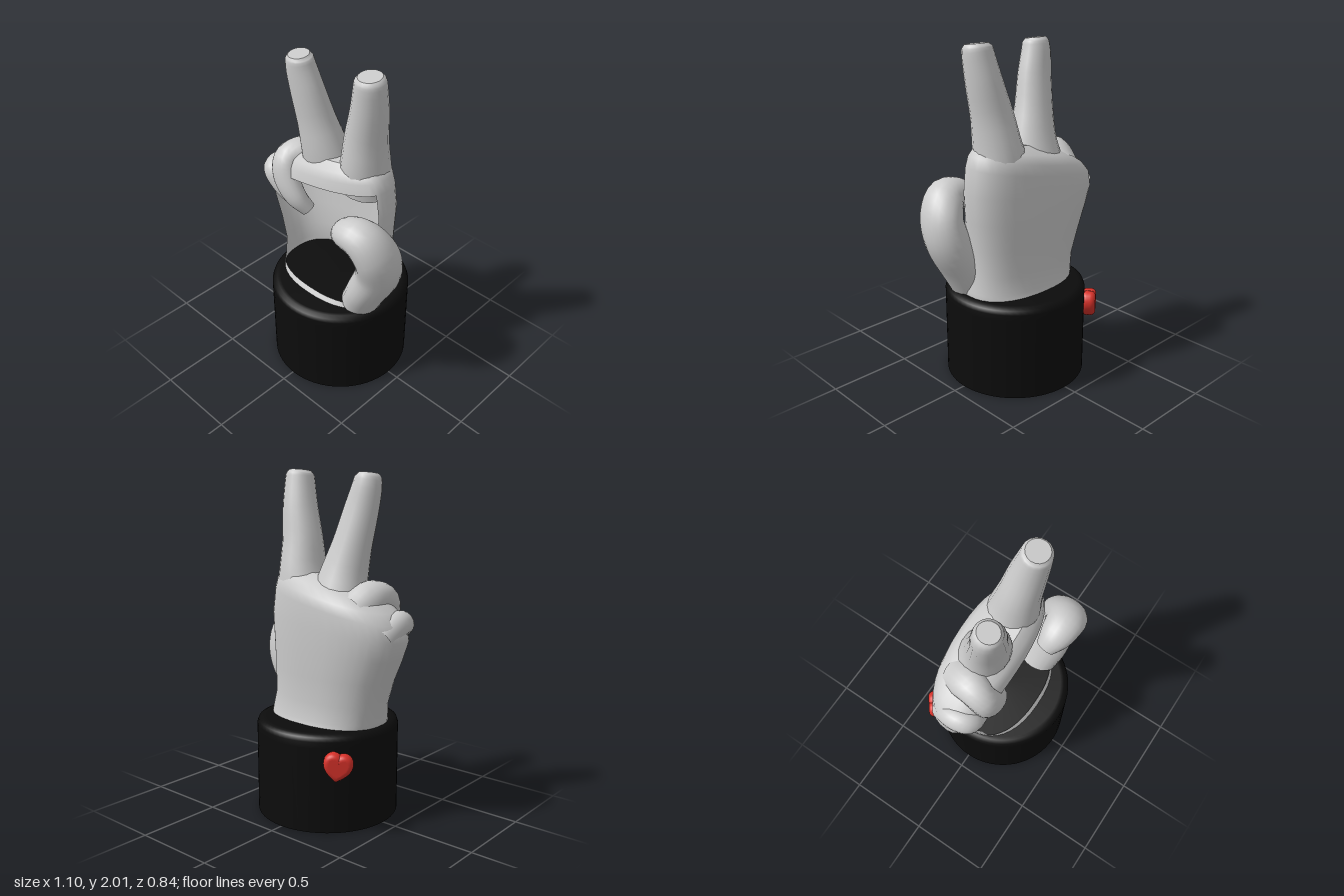
import * as THREE from 'three';
import { mergeVertices } from 'three/addons/utils/BufferGeometryUtils.js';

const V = (x, y, z) => new THREE.Vector3(x, y, z);
const skin = new THREE.MeshStandardMaterial({ color: 0xcccccc, side: THREE.DoubleSide });
const black = new THREE.MeshStandardMaterial({ color: 0x0c0c0c, side: THREE.DoubleSide });
const red = new THREE.MeshStandardMaterial({ color: 0xd8322a });

function part(name, geometry, material) {
  const mesh = new THREE.Mesh(geometry, material);
  mesh.name = name;
  return mesh;
}

// Skins a stack of closed rings; skip(i, j) leaves a face out, the last ring gets a flat cap.
function loft(rings, skip = () => false) {
  const n = rings[0].length, pos = [], index = [];
  rings.forEach(r => r.forEach(p => pos.push(p.x, p.y, p.z)));
  for (let i = 0; i < rings.length - 1; i++) {
    for (let j = 0; j < n; j++) {
      if (skip(i, j)) continue;
      const k = (j + 1) % n, a = i * n + j, b = i * n + k;
      index.push(a, b, a + n, b, b + n, a + n);
    }
  }
  const last = rings[rings.length - 1], start = pos.length / 3;
  const centre = last.reduce((s, p) => s.add(p), V(0, 0, 0)).divideScalar(n);
  [...last, centre].forEach(p => pos.push(p.x, p.y, p.z));
  for (let j = 0; j < n; j++) index.push(start + j, start + (j + 1) % n, start + n);
  const g = new THREE.BufferGeometry();
  g.setAttribute('position', new THREE.Float32BufferAttribute(pos, 3));
  g.setIndex(index);
  g.computeVertexNormals();
  return g;
}

// Finger: stations are [x, y, z, radius along the side axis, radius across it].
function finger(name, stations, side, steps = 18, n = 18) {
  const path = new THREE.CatmullRomCurve3(stations.map(s => V(s[0], s[1], s[2])));
  const size = new THREE.CatmullRomCurve3(stations.map(s => V(s[3], s[4], 0)));
  const rings = [];
  for (let i = 0; i <= steps; i++) {
    const t = i / steps, p = path.getPoint(t), r = size.getPoint(t), T = path.getTangent(t);
    const u = side.clone().addScaledVector(T, -side.dot(T)).normalize();
    const v = T.clone().cross(u);
    rings.push(Array.from({ length: n }, (_, j) => {
      const a = j / n * Math.PI * 2;
      return p.clone().addScaledVector(u, r.x * Math.cos(a)).addScaledVector(v, r.y * Math.sin(a));
    }));
  }
  return part(name, loft(rings), skin);
}

// Hollow palm: rows are [y, right x, left x, back z, front z, slope of the row]
function palm() {
  const rows = [
    [0.57, -0.37, 0.37, -0.25, 0.27, 0],
    [0.60, -0.38, 0.37, -0.24, 0.25, 0],
    [0.70, -0.40, 0.35, -0.225, 0.19, 0],
    [0.85, -0.45, 0.35, -0.235, 0.17, 0.02],
    [1.00, -0.51, 0.36, -0.24, 0.16, 0.05],
    [1.14, -0.55, 0.37, -0.245, 0.15, 0.11],
    [1.26, -0.53, 0.35, -0.24, 0.16, 0.18],
    [1.32, -0.47, 0.33, -0.23, 0.15, 0.2],
    [1.37, -0.37, 0.29, -0.19, 0.13, 0.2],
    [1.41, -0.24, 0.22, -0.1, 0.08, 0.18],
  ];
  const n = 40, bend = (c) => Math.sign(c) * Math.abs(c) ** 0.85;
  const rings = rows.map(([y, x0, x1, zb, zf, slope]) => Array.from({ length: n }, (_, j) => {
    const a = j / n * Math.PI * 2, s = bend(Math.sin(a));
    const x = (x0 + x1) / 2 + (x1 - x0) / 2 * bend(Math.cos(a));
    return V(x, y + slope * (x + 0.05), s > 0 ? s * zb : -s * zf);
  }));
  // the front stays open between the wrist rim and the finger roots
  return part('palm', loft(rings, (i, j) => i >= 1 && i <= 5 && j >= 23 && j <= 37), skin);
}

function heart() {
  const s = new THREE.Shape();
  s.moveTo(0, -0.055);
  s.bezierCurveTo(-0.03, -0.035, -0.058, -0.01, -0.055, 0.02);
  s.bezierCurveTo(-0.05, 0.055, -0.01, 0.055, 0, 0.02);
  s.bezierCurveTo(0.01, 0.055, 0.05, 0.055, 0.055, 0.02);
  s.bezierCurveTo(0.058, -0.01, 0.03, -0.035, 0, -0.055);
  let g = new THREE.ExtrudeGeometry(s, {
    depth: 0.02, bevelThickness: 0.032, bevelSize: 0.028, bevelSegments: 6, curveSegments: 10,
  });
  g.translate(0, 0, -0.01);
  g.deleteAttribute('uv');
  g.deleteAttribute('normal');
  g = mergeVertices(g, 1e-4);
  g.computeVertexNormals();
  const mesh = part('heart', g, red);
  mesh.position.set(-0.325, 0.41, -0.305);
  mesh.lookAt(-0.9, 0.41, -1.06);
  mesh.rotateZ(-0.15);
  return mesh;
}

export function createModel() {
  const model = new THREE.Group();
  model.name = 'victoryHand';

  // Sleeve, open underneath
  const profile = [[0.42, 0], [0.42, 0.5], [0.42, 0.535], [0.412, 0.558], [0.39, 0.57], [0.37, 0.572], [0, 0.572]];
  const sleeve = part('sleeve', new THREE.LatheGeometry(profile.map(p => new THREE.Vector2(...p)), 64), black);
  sleeve.position.x = 0.008;

  // Rounded wrist end inside the sleeve
  const wrist = part('wristEnd', new THREE.SphereGeometry(1, 28, 10, 0, Math.PI * 2, Math.PI / 2, Math.PI / 2), skin);
  wrist.scale.set(0.33, 0.3, 0.23);
  wrist.position.y = 0.56;

  const x = V(1, 0, 0);
  const index = finger('indexFinger', [
    [0.15, 1.28, -0.05, 0.17, 0.15], [0.17, 1.42, -0.03, 0.14, 0.145], [0.19, 1.6, -0.01, 0.122, 0.12],
    [0.225, 1.78, 0.01, 0.105, 0.105], [0.245, 1.92, 0.03, 0.092, 0.09], [0.25, 1.975, 0.037, 0.085, 0.083],
    [0.25, 1.998, 0.04, 0.066, 0.066]], x);
  const middle = finger('middleFinger', [
    [-0.11, 1.26, -0.05, 0.18, 0.15], [-0.125, 1.42, -0.01, 0.145, 0.13], [-0.16, 1.6, 0.02, 0.118, 0.105],
    [-0.195, 1.78, 0.05, 0.105, 0.09], [-0.22, 1.9, 0.065, 0.09, 0.082], [-0.225, 1.96, 0.073, 0.078, 0.075],
    [-0.225, 1.982, 0.076, 0.058, 0.06]], x);

  // Folded fingers
  const ring = finger('ringFinger', [
    [-0.27, 1.24, -0.1, 0.12, 0.1], [-0.31, 1.31, 0.0, 0.105, 0.09], [-0.335, 1.29, 0.09, 0.085, 0.08],
    [-0.31, 1.19, 0.125, 0.09, 0.07], [-0.24, 1.08, 0.12, 0.075, 0.06], [-0.18, 1.0, 0.08, 0.05, 0.045]],
    V(1, 0.35, 0).normalize(), 24);
  const little = finger('littleFinger', [
    [-0.44, 1.1, -0.08, 0.09, 0.09], [-0.475, 1.17, 0.02, 0.075, 0.075], [-0.46, 1.17, 0.09, 0.07, 0.06],
    [-0.39, 1.09, 0.1, 0.065, 0.05], [-0.3, 1.01, 0.07, 0.055, 0.045], [-0.22, 0.965, 0.03, 0.04, 0.035]],
    V(1, 0.7, 0).normalize(), 24);

  // Thumb, rising from the wrist and bending across the palm
  const thumb = finger('thumb', [
    [0.27, 0.58, 0.1, 0.12, 0.11], [0.34, 0.72, 0.11, 0.14, 0.115], [0.42, 0.89, 0.12, 0.14, 0.125],
    [0.43, 1.03, 0.16, 0.14, 0.11], [0.36, 1.13, 0.2, 0.12, 0.105], [0.26, 1.12, 0.2, 0.1, 0.09],
    [0.18, 1.06, 0.18, 0.06, 0.055]], V(0, 0, 1), 28, 20);

  model.add(sleeve, wrist, palm(), index, middle, ring, little, thumb, heart());
  return model;
}
